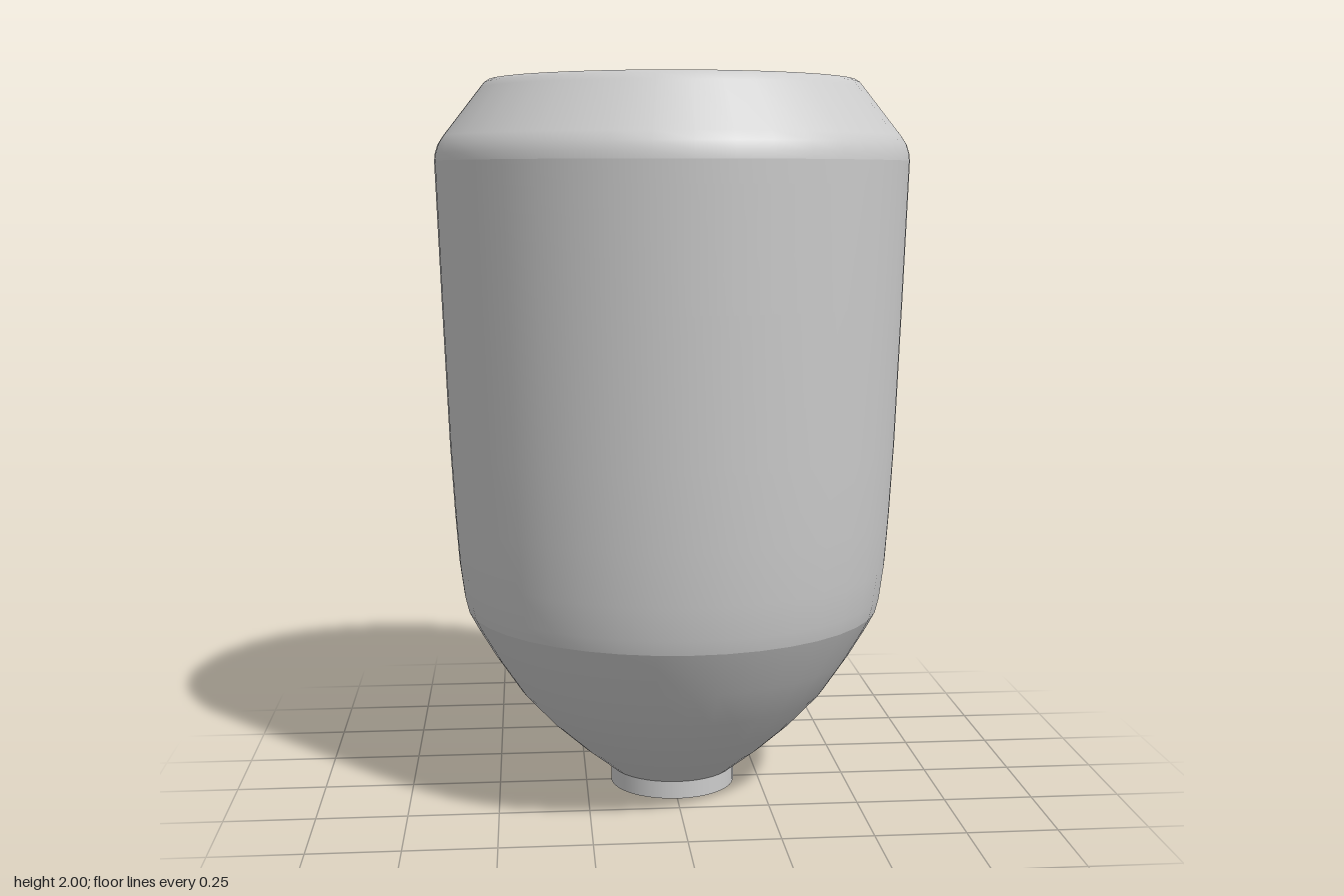
import * as THREE from 'three';

const SEGMENTS = 40;

export function createModel() {
  const group = new THREE.Group();
  group.name = 'hopperJar';
  const material = new THREE.MeshStandardMaterial({ color: 0xcccccc, side: THREE.DoubleSide });

  // Turns an [r, y] profile around the y axis; rising profiles face outward
  const turn = (name, profile) => {
    const points = profile.map(([r, y]) => new THREE.Vector2(r, y));
    const mesh = new THREE.Mesh(new THREE.LatheGeometry(points, SEGMENTS), material);
    mesh.name = name;
    group.add(mesh);
  };

  // Funnel, creased where it meets the neck and the wall
  const funnel = [[0.178, 0.05], [0.265, 0.12], [0.353, 0.2], [0.44, 0.295], [0.51, 0.4], [0.56, 0.485], [0.584, 0.53]];
  turn('funnel', funnel);

  // Slightly flared wall
  const wall = [[0.584, 0.53], [0.594, 0.57], [0.606, 0.66], [0.616, 0.8], [0.627, 1.0], [0.642, 1.4], [0.653, 1.72], [0.655, 1.78]];
  turn('wall', wall);

  // Rounded shoulder, bevel, rim and dished end with a low central rise
  const end = [
    [0.655, 1.78], [0.653, 1.8], [0.645, 1.825], [0.63, 1.848], [0.53, 1.975], [0.518, 1.99], [0.505, 1.998],
    [0.495, 1.998], [0.48, 1.988], [0.42, 1.957], [0.34, 1.925], [0.26, 1.905], [0.19, 1.9], [0.1, 1.908], [0, 1.912],
  ];
  turn('dishedEnd', end);

  // Neck ring with an open mouth
  turn('neck', [[0.178, 0], [0.178, 0.05]]);
  turn('neckLip', [[0.152, 0], [0.178, 0]]);
  turn('neckBore', [[0.152, 0.11], [0.152, 0]]);

  // Hollow inside, a thin wall behind the outer skin
  const t = 0.025;
  const inner = [
    [0, 1.88], [0.2, 1.87], [0.34, 1.89], [0.49, 1.96], [0.61, 1.83], [0.63, 1.78],
    ...wall.slice(1, -1).reverse().map(([r, y]) => [r - t, y]),
    ...funnel.slice(2).reverse().map(([r, y]) => [r - t, y + t / 2]),
    [0.152, 0.11],
  ];
  turn('innerWall', inner);

  return group;
}
